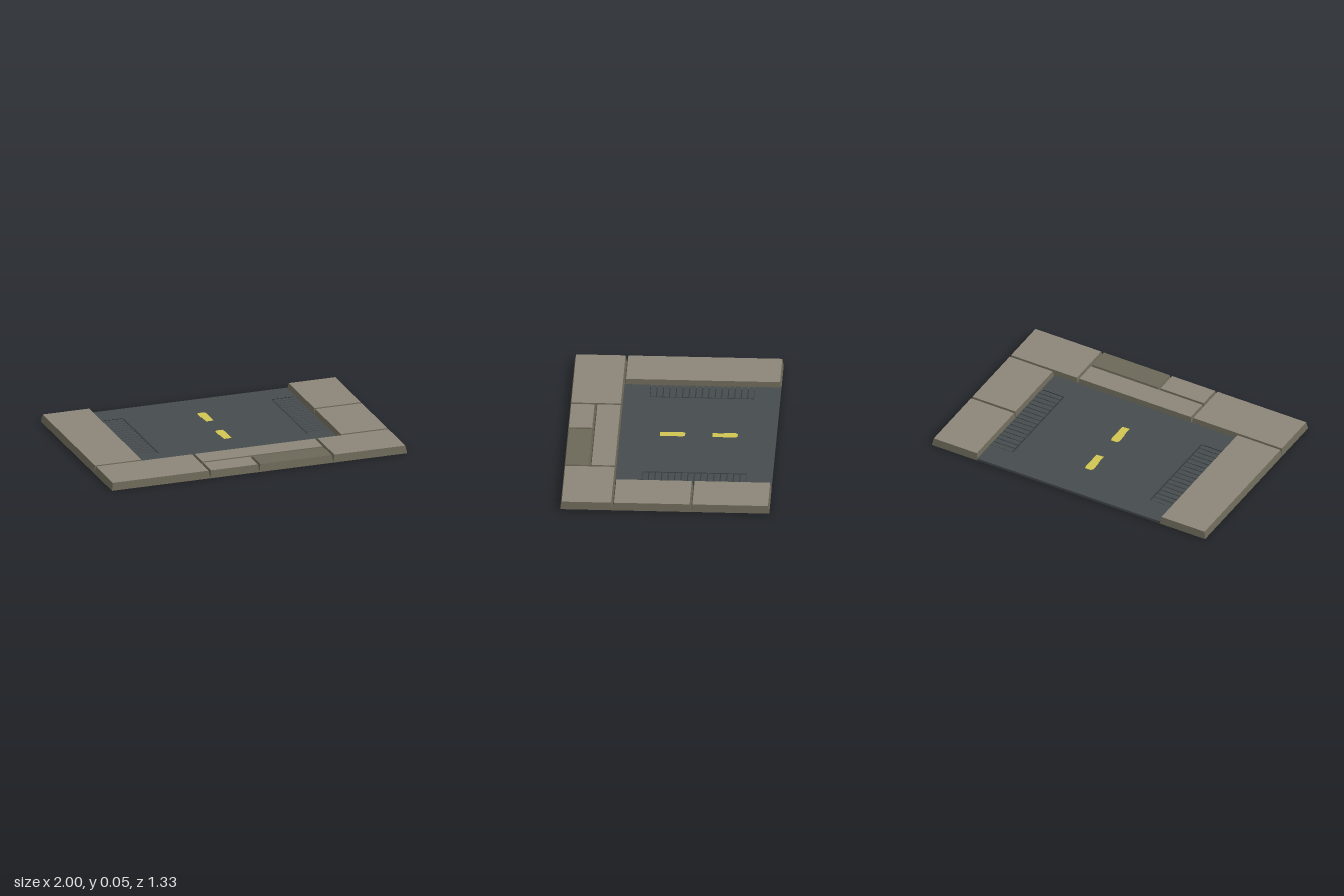
import * as THREE from 'three';

const mat = (name, color) => {
  const m = new THREE.MeshStandardMaterial({ color, side: THREE.DoubleSide });
  m.name = name;
  return m;
};

// Flat-shaded surface from a list of quads, each of four [x, y, z] corners
function quads(list) {
  const pos = [];
  for (const [a, b, c, d] of list) pos.push(...a, ...b, ...c, ...a, ...c, ...d);
  const g = new THREE.BufferGeometry();
  g.setAttribute('position', new THREE.Float32BufferAttribute(pos, 3));
  g.computeVertexNormals();
  return g;
}

export function createModel() {
  const root = new THREE.Group();
  root.name = 'streetEndTile';
  const stoneTop = mat('paleStone', 0x8b8579);
  const stoneSide = mat('darkStone', 0x6c6858);
  const asphalt = mat('asphalt', 0x464b4d);
  const drainDark = mat('drainShadow', 0x33383a);
  const yellow = mat('roadPaint', 0xcfc450);

  const add = (parent, name, geometry, material) => {
    const m = new THREE.Mesh(geometry, material);
    m.name = name;
    parent.add(m);
    return m;
  };

  // Paving slabs: hollow shells with tapering sides and an open underside
  const H = 0.05, inset = 0.009, T = 1 / 3, S = 1 / 6;
  function slab(name, x0, x1, z0, z1, topMaterial) {
    const low = [[x0, 0, z1], [x1, 0, z1], [x1, 0, z0], [x0, 0, z0]];
    const a = x0 + inset, b = x1 - inset, c = z0 + inset, d = z1 - inset;
    const high = [[a, H, d], [b, H, d], [b, H, c], [a, H, c]];
    const g = new THREE.Group();
    g.name = name;
    add(g, 'slabTop', quads([high]), topMaterial);
    add(g, 'slabSides', quads(low.map((p, i) => {
      const j = (i + 1) % 4;
      return [p, low[j], high[j], high[i]];
    })), stoneSide);
    root.add(g);
  }
  slab('rightLongSlab', -1, -2 * T, -2 * T, T, stoneTop);
  slab('frontRightSlab', -1, -T, T, 2 * T, stoneTop);
  slab('middleBackSlab', -T, 0.5, T, 0.5, stoneTop);
  slab('middleSmallSlab', -T, 0, 0.5, 2 * T, stoneTop);
  slab('middleDarkSlab', 0, 0.5, 0.5, 2 * T, stoneSide);
  slab('frontLeftSlab', 0.5, 1, T, 2 * T, stoneTop);
  slab('leftFrontSlab', 2 * T, 1, -S, T, stoneTop);
  slab('leftBackSlab', 2 * T, 1, -2 * T, -S, stoneTop);

  // Road sheet, notched on both sides for the drains
  const Y = 0.017, X = 2 * T, D = 0.5, zA = -0.5, zB = 0.165;
  const half = [[X, -2 * T], [X, zA], [D, zA], [D, zB], [X, zB], [X, T]];
  const outline = [...half, ...half.map(([x, z]) => [-x, z]).reverse()];
  const road = new THREE.ShapeGeometry(
    new THREE.Shape(outline.map(([x, z]) => new THREE.Vector2(x, -z))));
  road.rotateX(-Math.PI / 2);
  road.translate(0, Y, 0);
  add(root, 'road', road, asphalt);
  add(root, 'roadBackEdge',
    quads([[[X, 0, -X], [-X, 0, -X], [-X, Y, -X], [X, Y, -X]]]), asphalt);

  // Drains: floors sloping down to the kerb, covered by rows of slats
  for (const s of [-1, 1]) {
    const drain = new THREE.Group();
    drain.name = s > 0 ? 'leftDrain' : 'rightDrain';
    const floor = [[s * D, Y, zB], [s * X, 0.001, zB], [s * X, 0.001, zA], [s * D, Y, zA]];
    if (s < 0) floor.reverse();
    add(drain, 'drainFloor', quads([floor]), drainDark);
    const n = 16, pitch = (zB - zA) / n;
    const slat = new THREE.BoxGeometry(X - D, 0.006, pitch * 0.84);
    for (let i = 0; i < n; i++) {
      add(drain, 'slat', slat, asphalt)
        .position.set(s * (X + D) / 2, Y - 0.004, zA + (i + 0.5) * pitch);
    }
    root.add(drain);
  }

  // Worn centre-line dashes
  const dash = new THREE.ShapeGeometry(new THREE.Shape([
    [-0.028, -0.08], [0.024, -0.076], [0.024, 0.066], [0.018, 0.082],
    [-0.022, 0.082], [-0.034, 0.068], [-0.034, -0.002], [-0.028, -0.008],
  ].map(([x, y]) => new THREE.Vector2(x, y))));
  dash.rotateX(-Math.PI / 2);
  for (const z of [-0.337, -0.002]) {
    add(root, 'laneDash', dash, yellow).position.set(0, Y + 0.003, z);
  }
  return root;
}
